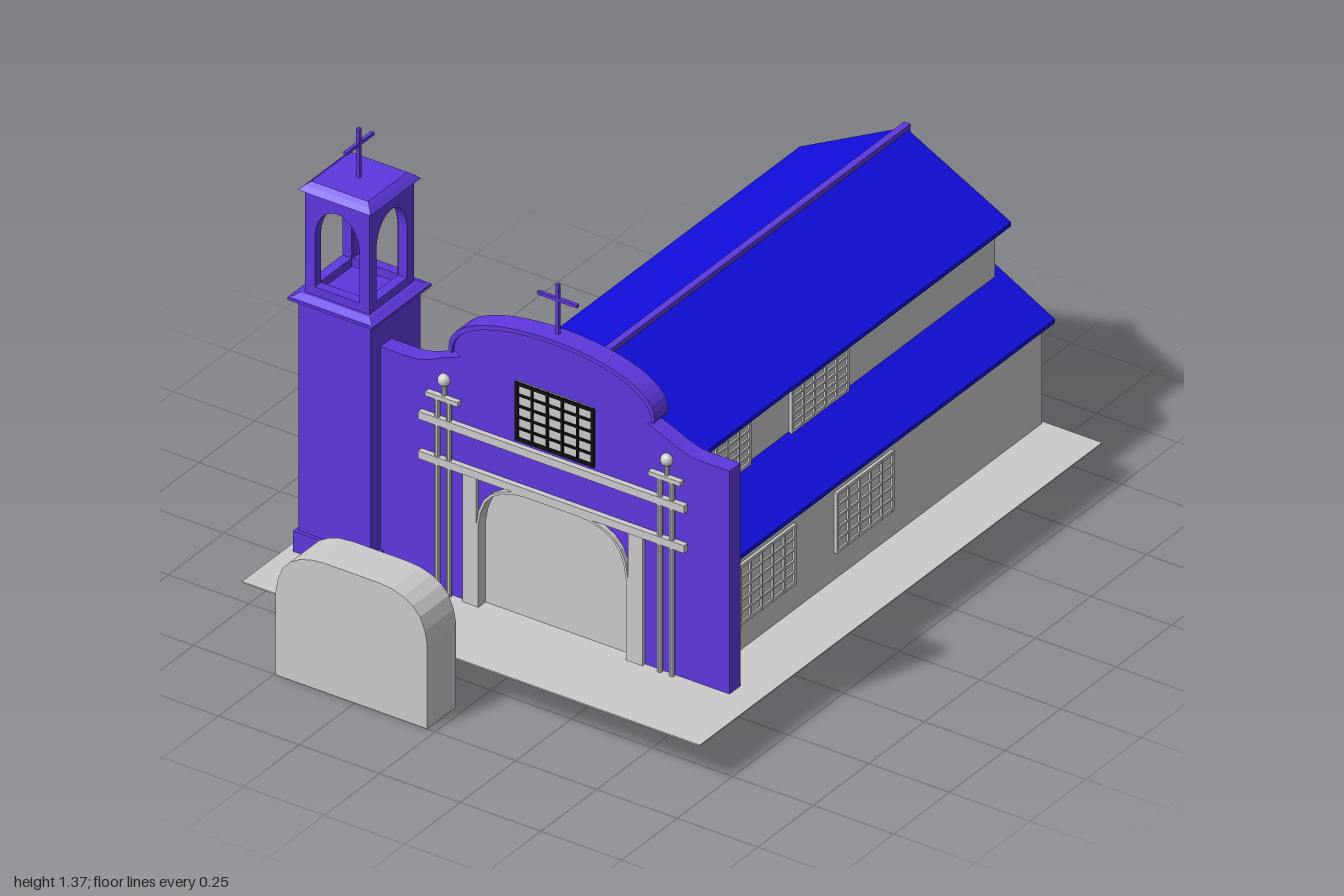
import * as THREE from 'three';

const mat = (color) => new THREE.MeshStandardMaterial({ color, flatShading: true });
const GREY = mat(0xcccccc), WALL = mat(0x5f38e0), ROOF = mat(0x120ee0), BLACK = mat(0x111111);
const BASE = 0.125;   // ground level
const CX = 0.085;     // centre line of the nave

export function createModel() {
  const root = new THREE.Group();

  const add = (name, geo, material, parent = root) => {
    const mesh = new THREE.Mesh(geo, material);
    mesh.name = name;
    parent.add(mesh);
    return mesh;
  };
  const group = (name) => {
    const g = new THREE.Group();
    g.name = name;
    root.add(g);
    return g;
  };
  // box given by its extents
  const box = (name, x0, x1, y0, y1, z0, z1, material, parent) => {
    const geo = new THREE.BoxGeometry(x1 - x0, y1 - y0, z1 - z0);
    geo.translate((x0 + x1) / 2, (y0 + y1) / 2, (z0 + z1) / 2);
    return add(name, geo, material, parent);
  };
  const toShape = (pts) => new THREE.Shape(pts.map(([x, y]) => new THREE.Vector2(x, y)));
  // shape in the xy plane extruded from z0 to z1
  const slab = (name, shape, z0, z1, material, parent) => {
    const geo = new THREE.ExtrudeGeometry(shape, { depth: z1 - z0, bevelEnabled: false, curveSegments: 12 });
    geo.translate(0, 0, z0);
    return add(name, geo, material, parent);
  };

  // rounded door outline, left foot to right foot
  const doorArch = (cx, y, inset = 0) => {
    const half = [[0.235, 0], [0.235, 0.25], [0.228, 0.29], [0.213, 0.327], [0.19, 0.352], [0.16, 0.37], [0.125, 0.381], [0.085, 0.385]];
    const s = 1 - inset / 0.235;
    const left = half.map(([dx, dy]) => [cx - dx * s, y + (dy ? dy - inset : 0)]);
    const right = half.map(([dx, dy]) => [cx + dx * s, y + (dy ? dy - inset : 0)]).reverse();
    return [...left, ...right];
  };

  // ground and the loose block in front
  box('ground', -0.71, 0.71, 0.121, BASE, -0.97, 0.84, GREY);
  slab('frontBlock', toShape(doorArch(-0.26, 0)), 0.87, 1.0, GREY);

  // facade with curved gable and door opening
  const dome = [];
  for (let i = 0; i <= 24; i++) {
    const a = Math.PI * (1 - i / 24);
    const dx = Math.cos(a) * 0.32;
    dome.push([CX + dx, 0.865 + 0.135 * Math.pow(Math.sin(a), 0.85)]);
  }
  const shoulder = [[0.545, 0.79], [0.5, 0.792], [0.45, 0.805], [0.405, 0.823], [0.34, 0.845]]
    .map(([d, y]) => [d * 0.85, y]);
  const facade = [
    [-0.47, BASE], [-0.47, 0.79],
    ...shoulder.map(([d, y]) => [CX - d, y]),
    ...dome,
    ...shoulder.map(([d, y]) => [CX + d, y]).reverse(),
    [0.63, 0.79], [0.63, BASE],
    ...doorArch(0.089, BASE).reverse(),
  ];
  slab('facade', toShape(facade), 0.54, 0.59, WALL);
  const inner = dome.map(([x, y]) => [CX + (x - CX) * 0.97, y - 0.012]).reverse();
  slab('gableCoping', toShape([...dome, ...inner]), 0.537, 0.6, WALL);

  // door panel, arch lining and pilasters
  const portal = group('portal');
  slab('door', toShape(doorArch(0.089, BASE)), 0.541, 0.57, GREY, portal);
  slab('doorLining', toShape([...doorArch(0.089, BASE), ...doorArch(0.089, BASE, 0.006).reverse()]), 0.545, 0.604, GREY, portal);
  box('doorPost', -0.19, -0.148, 0.118, 0.51, 0.57, 0.602, GREY, portal);
  box('doorPost', 0.324, 0.368, 0.118, 0.51, 0.57, 0.602, GREY, portal);
  for (const y of [0.508, 0.626]) box('beam', -0.325, 0.5, y, y + 0.023, 0.575, 0.606, GREY, portal);
  for (const x of [-0.253, 0.438]) {
    for (const s of [-1, 1]) {
      const column = add('column', new THREE.CylinderGeometry(0.008, 0.008, 0.58, 10), GREY, portal);
      column.position.set(x + s * 0.0185, BASE + 0.29, 0.597);
    }
    box('columnCap', x - 0.05, x + 0.05, 0.703, 0.716, 0.58, 0.606, GREY, portal);
    add('finialStem', new THREE.CylinderGeometry(0.007, 0.007, 0.04, 10), GREY, portal).position.set(x, 0.73, 0.593);
    add('finialBall', new THREE.SphereGeometry(0.018, 14, 10), GREY, portal).position.set(x, 0.761, 0.593);
  }

  // barred window centred on its own origin, facing +z
  const barredWindow = (name, w, h, barMaterial) => {
    const g = group(name);
    box('pane', -w / 2, w / 2, -h / 2, h / 2, -0.004, 0.001, GREY, g);
    for (let i = 0; i <= 5; i++) {
      const t = i % 5 ? 0.003 : 0.005, x = (i / 5 - 0.5) * (w - 0.01), y = (i / 5 - 0.5) * (h - 0.01);
      box('uprightBar', x - t, x + t, -h / 2, h / 2, 0, 0.007, barMaterial, g);
      box('crossBar', -w / 2, w / 2, y - t, y + t, 0, 0.006, barMaterial, g);
    }
    return g;
  };
  barredWindow('facadeWindow', 0.245, 0.175, BLACK).position.set(0.092, 0.748, 0.592);

  // nave: a wide low gable with a narrower raised one above it
  const gableBody = (name, half, y0, eave, peak, z0) =>
    slab(name, toShape([[CX - half, y0], [CX + half, y0], [CX + half, eave], [CX, peak], [CX - half, eave]]), z0, 0.54, GREY);
  const gableRoof = (name, half, eave, peak, z0) => {
    const t = 0.012;
    slab(name, toShape([
      [CX - half, eave], [CX - half, eave - t], [CX, peak - t],
      [CX + half, eave - t], [CX + half, eave], [CX, peak],
    ]), z0, 0.54, ROOF);
  };
  gableBody('lowerWalls', 0.445, BASE, 0.428, 0.67, -0.96);
  gableRoof('lowerRoof', 0.467, 0.431, 0.685, -0.987);
  gableBody('upperWalls', 0.305, 0.45, 0.668, 0.826, -0.952);
  gableRoof('upperRoof', 0.328, 0.67, 0.84, -0.992);
  box('ridgeCap', CX - 0.01, CX + 0.01, 0.825, 0.85, -1.0, 0.545, WALL);

  // side windows on the left wall
  for (const z of [0.285, -0.155]) {
    for (const [name, x, y, h] of [['lowerWindow', 0.53, 0.295, 0.18], ['upperWindow', 0.39, 0.582, 0.135]]) {
      const w = barredWindow(name, 0.26, h, GREY);
      w.rotation.y = Math.PI / 2;
      w.position.set(x + 0.002, y, z);
    }
  }

  // bell tower, built around its own axis
  const tower = group('bellTower');
  tower.position.set(-0.565, 0, 0.522);
  const block = (name, bottom, top, y0, y1) => {
    const geo = new THREE.CylinderGeometry(top * Math.SQRT2, bottom * Math.SQRT2, y1 - y0, 4, 1);
    geo.rotateY(Math.PI / 4);
    geo.translate(0, (y0 + y1) / 2, 0);
    add(name, geo, WALL, tower);
  };
  block('towerPlinth', 0.122, 0.122, BASE, 0.186);
  block('towerShaft', 0.112, 0.112, 0.186, 0.87);
  block('cornice', 0.118, 0.132, 0.868, 0.878);
  block('cornice', 0.132, 0.132, 0.878, 0.886);
  block('corniceTop', 0.126, 0.108, 0.886, 0.897);

  // belfry: four walls with arched openings
  for (let i = 0; i < 4; i++) {
    const half = i % 2 ? 0.072 : 0.1;
    const wall = toShape([[-half, 0.895], [half, 0.895], [half, 1.2], [-half, 1.2]]);
    const hole = new THREE.Path();
    hole.moveTo(-0.069, 0.922);
    hole.lineTo(0.069, 0.922);
    hole.lineTo(0.069, 1.07);
    hole.absellipse(0, 1.07, 0.069, 0.092, 0, Math.PI, false);
    hole.lineTo(-0.069, 0.922);
    wall.holes.push(hole);
    slab('belfryWall', wall, 0.072, 0.1, WALL, tower).rotation.y = i * Math.PI / 2;
  }
  block('belfryEave', 0.102, 0.113, 1.195, 1.203);
  block('belfryCap', 0.113, 0.1, 1.203, 1.216);
  block('belfryCapTop', 0.1, 0.088, 1.216, 1.225);

  // crosses
  const cross = (name, x, y, z, turn) => {
    const g = group(name);
    box('crossUpright', -0.005, 0.005, 0, 0.15, -0.005, 0.005, WALL, g);
    box('crossArm', -0.062, 0.062, 0.1, 0.109, -0.005, 0.005, WALL, g);
    g.position.set(x, y, z);
    g.rotation.y = turn;
  };
  cross('gableCross', 0.08, 0.998, 0.564, 0);
  cross('towerCross', -0.565, 1.221, 0.524, Math.PI / 2);

  return root;
}
